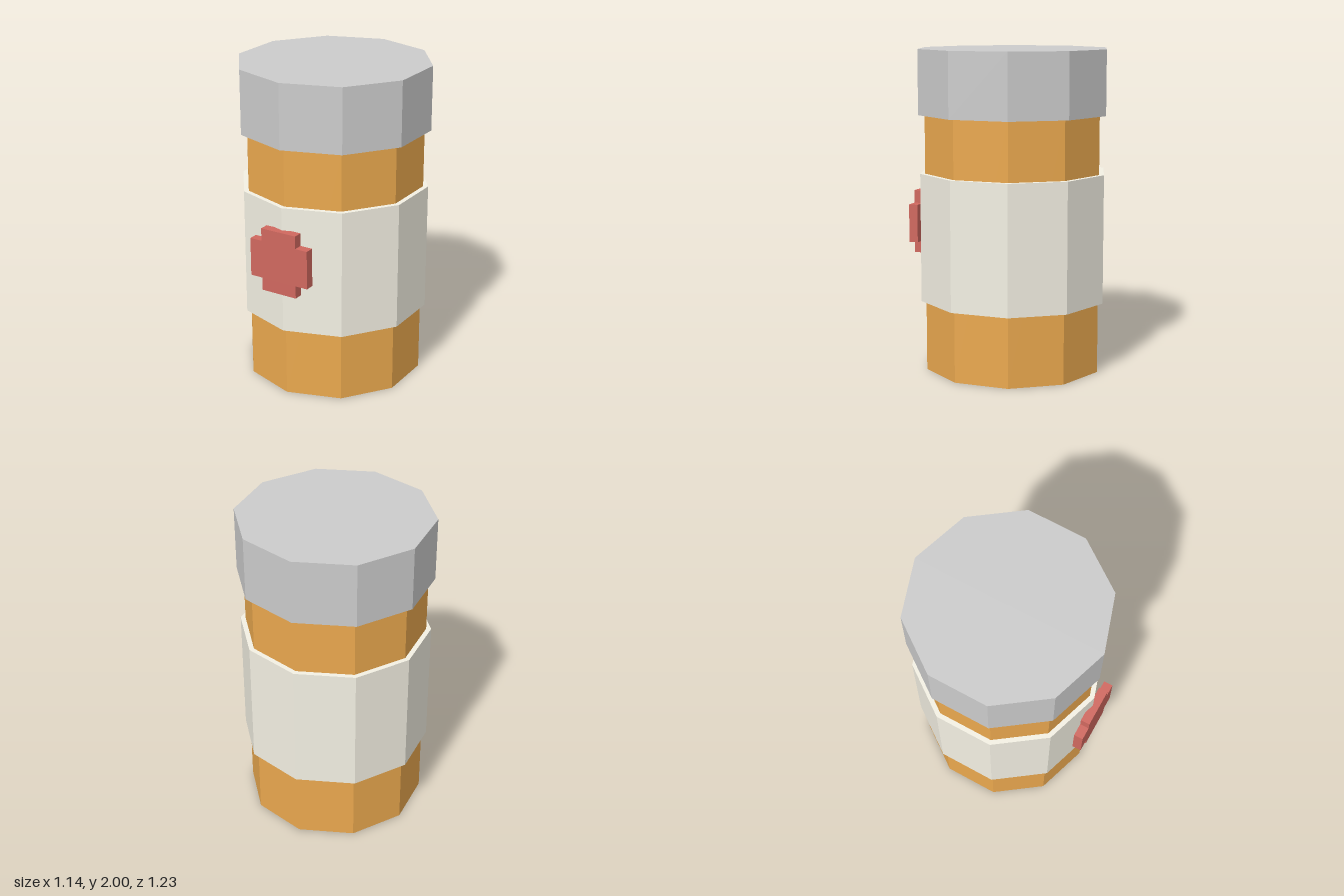
import * as THREE from 'three';

const SIDES = 10;
const CENTRE_Z = -0.016;

function material(color) {
  return new THREE.MeshStandardMaterial({ color, flatShading: true });
}

// Ten-sided upright drum with a corner facing the front
function drum(name, radius, bottom, top, color) {
  const geometry = new THREE.CylinderGeometry(radius, radius, top - bottom, SIDES);
  const mesh = new THREE.Mesh(geometry, material(color));
  mesh.name = name;
  mesh.position.set(0, (bottom + top) / 2, CENTRE_Z);
  return mesh;
}

// Raised cross with stepped corners
function cross(name, outer, inner, depth, color) {
  const shape = new THREE.Shape([
    [outer, inner], [inner, inner], [inner, outer],
    [-inner, outer], [-inner, inner], [-outer, inner],
    [-outer, -inner], [-inner, -inner], [-inner, -outer],
    [inner, -outer], [inner, -inner], [outer, -inner],
  ].map(([x, y]) => new THREE.Vector2(x, y)));
  const geometry = new THREE.ExtrudeGeometry(shape, { depth, bevelEnabled: false });
  const mesh = new THREE.Mesh(geometry, material(color));
  mesh.name = name;
  return mesh;
}

export function createModel() {
  const model = new THREE.Group();
  model.name = 'pillBottle';

  model.add(drum('bottle', 0.56, 0, 1.6, 0xeaa84e));
  model.add(drum('label', 0.591, 0.44, 1.24, 0xf3f0e3));
  model.add(drum('cap', 0.6, 1.6, 2, 0xcccccc));

  // Cross on the front of the label: arms reach 0.2, corner blocks are notched
  const emblem = cross('labelCross', 0.2, 0.12, 0.058, 0xd0685f);
  emblem.position.set(0, 0.9, 0.555);
  model.add(emblem);

  return model;
}
